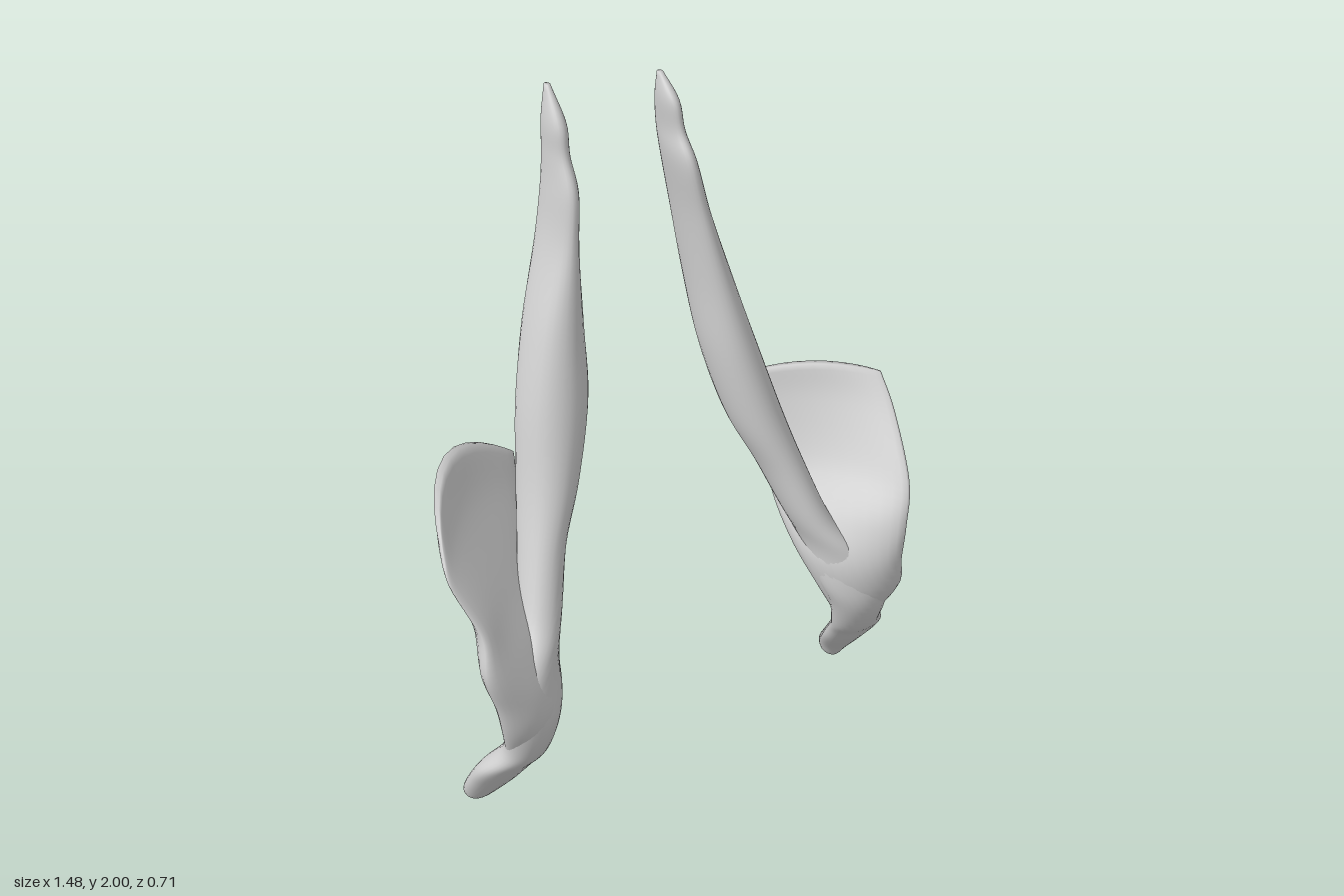
import * as THREE from 'three';

const SIDES = 28;
const STEPS = 6;

// Lofts a curved, lens-shaped section between a rear/inner edge and a front/outer edge.
// Row: [ax, ay, az, bx, by, bz, half thickness, bow, lift]; side -1 mirrors in x.
function blade(name, rows, side, material) {
  const curve = (f) => new THREE.CatmullRomCurve3(rows.map(f), false, 'catmullrom', 0.5);
  const edgeA = curve((r) => new THREE.Vector3(r[0], r[1], r[2]));
  const edgeB = curve((r) => new THREE.Vector3(r[3], r[4], r[5]));
  const form = curve((r) => new THREE.Vector3(r[6], r[7], r[8]));
  const rings = (rows.length - 1) * STEPS;
  const pos = [];
  const index = [];
  const tri = (a, b, c) => (side > 0 ? index.push(a, b, c) : index.push(a, c, b));

  for (let k = 0; k <= rings; k++) {
    const s = k / rings;
    const a = edgeA.getPoint(s);
    const b = edgeB.getPoint(s);
    const [thick, bow, lift] = form.getPoint(s).toArray();
    const half = b.clone().sub(a).multiplyScalar(0.5);
    const mid = a.clone().add(b).multiplyScalar(0.5);
    const normal = new THREE.Vector3(-half.z, 0, half.x).normalize();
    for (let i = 0; i < SIDES; i++) {
      const t = (i / SIDES) * Math.PI * 2;
      const u = Math.cos(t);
      const arch = 1 - u * u;
      const p = mid.clone().addScaledVector(half, u)
        .addScaledVector(normal, Math.sin(t) * thick + arch * bow);
      pos.push(p.x * side, p.y + arch * lift, p.z);
    }
  }
  for (let k = 0; k < rings; k++) {
    for (let i = 0; i < SIDES; i++) {
      const j = (i + 1) % SIDES;
      const p = k * SIDES;
      const q = p + SIDES;
      tri(p + i, p + j, q + i);
      tri(p + j, q + j, q + i);
    }
  }
  // End caps made of strips across the section
  for (let i = 0; i < SIDES / 2; i++) {
    const m = (SIDES - i) % SIDES;
    const n = SIDES - i - 1;
    const e = rings * SIDES;
    tri(i, n, i + 1);
    tri(i, m, n);
    tri(e + i, e + i + 1, e + n);
    tri(e + i, e + n, e + m);
  }
  const geometry = new THREE.BufferGeometry();
  geometry.setAttribute('position', new THREE.Float32BufferAttribute(pos, 3));
  geometry.setIndex(index);
  geometry.computeVertexNormals();
  const mesh = new THREE.Mesh(geometry, material);
  mesh.name = name;
  return mesh;
}

// Level section: [y, ax, az, bx, bz, half thickness]
const level = ([y, ax, az, bx, bz, t]) => [ax, y, az, bx, y, bz, t, 0, 0];

// Long strap from the pointed tip down to the hooked foot
const leftStrap = [
  [1.975, 0.184, -0.33, 0.184, -0.308, 0.008],
  [1.91, 0.19, -0.345, 0.188, -0.235, 0.024],
  [1.83, 0.195, -0.35, 0.193, -0.21, 0.026],
  [1.75, 0.204, -0.338, 0.197, -0.155, 0.034],
  [1.6, 0.23, -0.325, 0.222, -0.125, 0.041],
  [1.4, 0.265, -0.29, 0.255, -0.068, 0.061],
  [1.2, 0.295, -0.225, 0.285, 0.005, 0.079],
  [1.0, 0.335, -0.14, 0.33, 0.08, 0.081],
  [0.85, 0.38, -0.05, 0.38, 0.145, 0.067],
  [0.7, 0.415, 0.05, 0.435, 0.22, 0.06],
  [0.6, 0.42, 0.13, 0.52, 0.28, 0.055],
  [0.5, 0.425, 0.21, 0.62, 0.31, 0.065],
  [0.41, 0.455, 0.25, 0.635, 0.285, 0.07],
  [0.31, 0.48, 0.24, 0.64, 0.25, 0.058],
  [0.25, 0.5, 0.205, 0.69, 0.2, 0.058],
  [0.17, 0.525, 0.15, 0.68, 0.145, 0.056],
  [0.07, 0.575, 0.075, 0.665, 0.07, 0.052],
  [0.015, 0.6, 0.048, 0.65, 0.048, 0.037],
  [0.0, 0.615, 0.045, 0.635, 0.045, 0.012],
];
const rightStrap = [
  [2.0, 0.16, -0.335, 0.16, -0.312, 0.008],
  [1.91, 0.164, -0.34, 0.162, -0.235, 0.027],
  [1.83, 0.17, -0.335, 0.166, -0.21, 0.028],
  [1.74, 0.178, -0.33, 0.171, -0.16, 0.035],
  [1.6, 0.205, -0.315, 0.195, -0.128, 0.043],
  [1.4, 0.255, -0.265, 0.245, -0.065, 0.078],
  [1.2, 0.295, -0.205, 0.295, 0.005, 0.1],
  [1.0, 0.35, -0.13, 0.36, 0.075, 0.086],
  [0.85, 0.41, -0.04, 0.425, 0.13, 0.067],
  [0.7, 0.455, 0.06, 0.49, 0.2, 0.062],
  [0.6, 0.465, 0.13, 0.57, 0.255, 0.06],
  [0.5, 0.465, 0.195, 0.66, 0.28, 0.066],
  [0.41, 0.49, 0.235, 0.655, 0.265, 0.068],
  [0.31, 0.52, 0.23, 0.66, 0.24, 0.06],
  [0.23, 0.535, 0.185, 0.715, 0.185, 0.057],
  [0.14, 0.565, 0.125, 0.725, 0.125, 0.056],
  [0.05, 0.63, 0.07, 0.72, 0.065, 0.046],
  [0.02, 0.665, 0.055, 0.705, 0.05, 0.025],
];

// Flaring wing from its thin upper rim down into the strap
const leftWing = [
  [0.4, 1.03, -0.18, 0.735, 1.055, 0.06, 0.01, -0.025, 0.02],
  [0.395, 0.94, -0.14, 0.728, 0.96, 0.15, 0.024, -0.045, 0.01],
  [0.395, 0.8, -0.06, 0.693, 0.8, 0.285, 0.04, -0.05, 0],
  [0.39, 0.69, 0.02, 0.655, 0.68, 0.335, 0.063, -0.02, 0],
  [0.4, 0.58, 0.115, 0.64, 0.57, 0.345, 0.068, 0.008, 0],
  [0.43, 0.47, 0.2, 0.66, 0.47, 0.325, 0.06, 0.015, 0],
  [0.48, 0.36, 0.235, 0.625, 0.36, 0.275, 0.05, 0, 0],
  [0.52, 0.28, 0.215, 0.61, 0.28, 0.23, 0.02, 0, 0],
];
const rightWing = [
  [0.405, 1.035, -0.135, 0.735, 0.94, 0.1, 0.01, -0.09, 0.125],
  [0.41, 0.92, -0.095, 0.742, 0.875, 0.16, 0.025, -0.075, 0.065],
  [0.42, 0.76, -0.01, 0.7, 0.75, 0.24, 0.043, -0.045, 0.02],
  [0.43, 0.64, 0.07, 0.715, 0.64, 0.29, 0.06, -0.01, 0],
  [0.455, 0.52, 0.155, 0.685, 0.52, 0.295, 0.065, 0.01, 0],
  [0.485, 0.42, 0.215, 0.67, 0.42, 0.28, 0.058, 0.01, 0],
  [0.54, 0.31, 0.22, 0.65, 0.31, 0.24, 0.035, 0, 0],
];

export function createModel() {
  const model = new THREE.Group();
  model.name = 'pairedBlades';
  const grey = new THREE.MeshStandardMaterial({ color: 0xcccccc });
  grey.name = 'light grey';

  const left = new THREE.Group();
  left.name = 'leftBlade';
  left.add(blade('leftStrap', leftStrap.map(level), 1, grey), blade('leftWing', leftWing, 1, grey));

  const right = new THREE.Group();
  right.name = 'rightBlade';
  right.add(blade('rightStrap', rightStrap.map(level), -1, grey), blade('rightWing', rightWing, -1, grey));

  model.add(left, right);
  return model;
}
